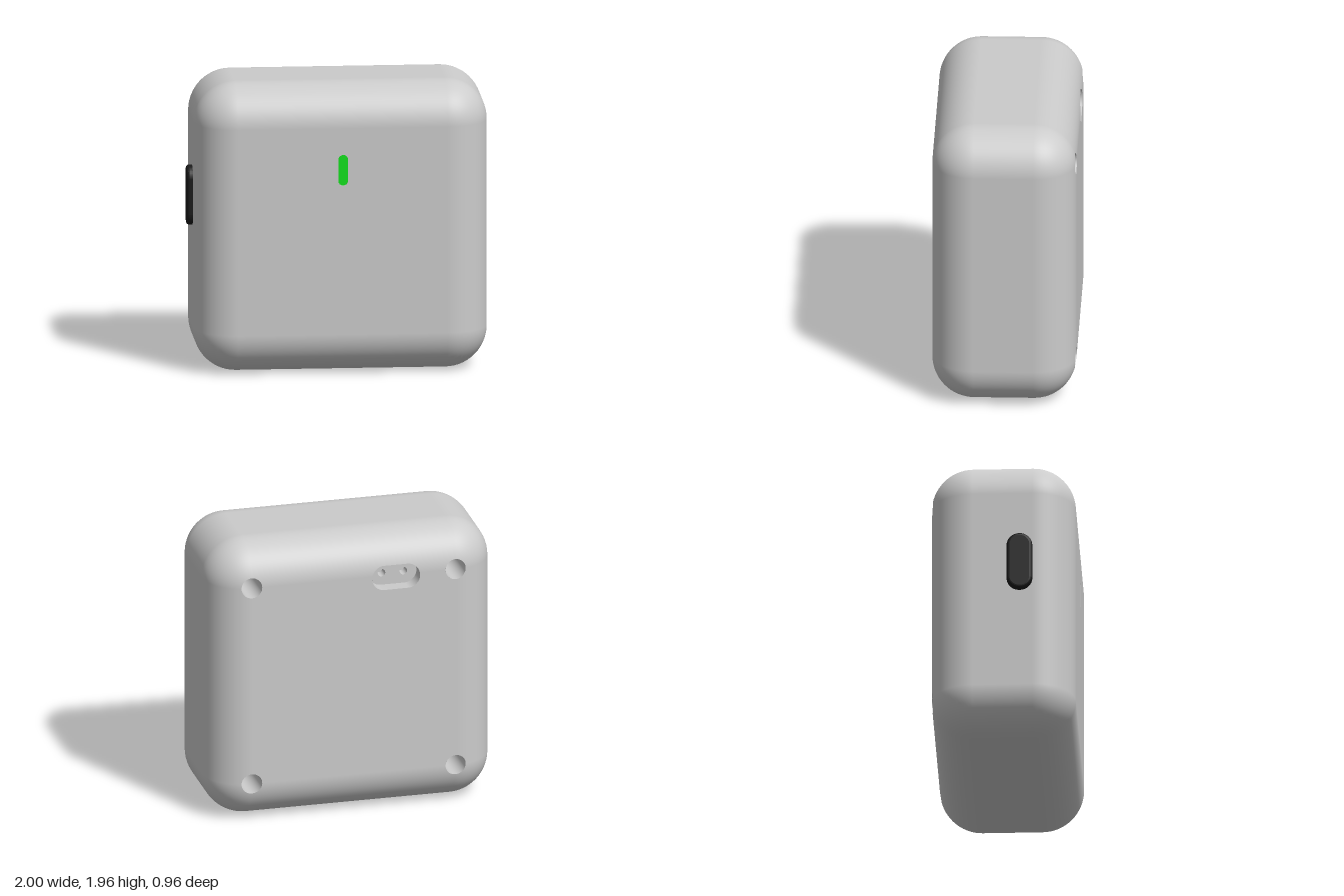
import * as THREE from 'three';

const H = 0.70;        // half size of the flat front and back
const C = 0.20;        // half depth of the straight side walls
const R = 0.28;        // edge fillet radius
const SCREW = 0.07;    // screw hole radius, centred on the corners of the flat back
const SLOT = { x: -0.29, y: 0.685, f: 0.08, r: 0.085 };
const DEG = Math.PI / 180;

const grey = new THREE.MeshStandardMaterial({ color: 0xcccccc, side: THREE.DoubleSide });
const green = new THREE.MeshStandardMaterial({ color: 0x10e01c, side: THREE.DoubleSide });
const black = new THREE.MeshStandardMaterial({ color: 0x1a1a1a });

const surfaceZ = (x, y) => {
  const d = Math.hypot(Math.max(Math.abs(x) - H, 0), Math.max(Math.abs(y) - H, 0));
  return C + Math.sqrt(R * R - d * d);
};
const quarterTurns = (x, y, k) => {
  for (; k > 0; k--) [x, y] = [-y, x];
  return [x, y];
};

// Counter-clockwise pill outline: f is half the straight length, r the end radius
function pill(cx, cy, f, r, upright = false) {
  const pts = [];
  for (let i = 0; i < 48; i++) {
    const a = ((i + 0.5) / 48 - 0.25) * Math.PI * 2;
    const x = (i < 24 ? f : -f) + r * Math.cos(a), y = r * Math.sin(a);
    pts.push(upright ? new THREE.Vector2(cx - y, cy + x) : new THREE.Vector2(cx + x, cy + y));
  }
  return pts;
}

function add(parent, name, geo, mat) {
  const mesh = new THREE.Mesh(geo, mat);
  mesh.name = name;
  parent.add(mesh);
  return mesh;
}

// Joins equal rows of points into a closed band
function bandIndex(rows, n) {
  const idx = [];
  for (let j = 0; j < rows - 1; j++) for (let i = 0; i < n; i++) {
    const k = (i + 1) % n, a = j * n, b = a + n;
    idx.push(a + i, a + k, b + k, a + i, b + k, b + i);
  }
  return idx;
}

// Flat panel facing +z or -z
function panel(points, holes, z, side) {
  const shape = new THREE.Shape(points);
  shape.holes = holes.map(h => new THREE.Path(h));
  const geo = new THREE.ShapeGeometry(shape);
  if (side < 0) geo.index.array.reverse();
  geo.translate(0, 0, z);
  geo.computeVertexNormals();
  return geo;
}

// Recess with walls from the surface down to a floor
function pocket(parent, name, pts, top, bottom, side, mat = grey, holes = []) {
  const pos = [];
  for (const p of pts) pos.push(p.x, p.y, side * top(p.x, p.y));
  for (const p of pts) pos.push(p.x, p.y, side * bottom);
  const wall = new THREE.BufferGeometry();
  wall.setAttribute('position', new THREE.Float32BufferAttribute(pos, 3));
  const idx = bandIndex(2, pts.length);
  wall.setIndex(side < 0 ? idx.reverse() : idx);
  wall.computeVertexNormals();
  add(parent, name + 'Wall', wall, grey);
  add(parent, name + 'Floor', panel(pts, holes, side * bottom, side), mat);
}

// Filleted shell as cross-sections from back to front, its back rim cut by the holes
function shellGeometry() {
  const loop = [];
  for (let k = 0; k < 4; k++) {
    const side = [];
    const end = [];
    for (let i = 0; i <= 10; i++) {
      const a = i * 9 * DEG;
      end.push([H - SCREW * Math.sin(a), SCREW * Math.cos(a)]);
    }
    side.push(...end);
    if (k === 0) {
      const a0 = Math.asin((H - SLOT.y) / SLOT.r);
      const arc = [];
      for (let i = 0; i <= 10; i++) {
        const a = a0 + (Math.PI / 2 - a0) * i / 10;
        arc.push([SLOT.f + SLOT.r * Math.cos(a), SLOT.y + SLOT.r * Math.sin(a) - H]);
      }
      side.push(...arc.map(([x, d]) => [SLOT.x + x, d]));
      side.push(...arc.reverse().map(([x, d]) => [SLOT.x - x, d]));
    }
    side.push(...end.reverse().map(([x, d]) => [-x, d]));
    for (const [x, d] of side)
      loop.push({ b: quarterTurns(x, H, k), n: quarterTurns(0, 1, k), min: Math.max(d, 0) });
    for (let i = 1; i < 14; i++) {
      const a = (90 + i * 90 / 14) * DEG;
      loop.push({ b: quarterTurns(-H, H, k), n: quarterTurns(Math.cos(a), Math.sin(a), k), min: SCREW });
    }
  }
  const pos = [], nor = [], steps = 16;
  for (const side of [-1, 1]) for (let j = 0; j <= steps; j++) {
    const t = (side < 0 ? j : steps - j) / steps * Math.PI / 2;
    for (const { b, n, min } of loop) {
      const d = Math.max(R * Math.sin(t), side < 0 ? min : 0);
      const h = Math.sqrt(Math.max(R * R - d * d, 0));
      pos.push(b[0] + n[0] * d, b[1] + n[1] * d, side * (C + h));
      nor.push(n[0] * d / R, n[1] * d / R, side * h / R);
    }
  }
  const geo = new THREE.BufferGeometry();
  geo.setAttribute('position', new THREE.Float32BufferAttribute(pos, 3));
  geo.setAttribute('normal', new THREE.Float32BufferAttribute(nor, 3));
  geo.setIndex(bandIndex(2 * steps + 2, loop.length));
  return geo;
}

// Outline of the flat back, with bites for the screw holes and the slot
function backOutline() {
  const pts = [];
  const a0 = Math.asin((H - SLOT.y) / SLOT.r);
  for (let i = 0; i <= 24; i++) {
    const a = a0 - (Math.PI + 2 * a0) * i / 24;
    const cx = SLOT.x + (i <= 12 ? SLOT.f : -SLOT.f);
    pts.push(new THREE.Vector2(cx + SLOT.r * Math.cos(a), SLOT.y + SLOT.r * Math.sin(a)));
  }
  for (let k = 0; k < 4; k++) for (let i = 0; i <= 10; i++) {
    const a = -i * 9 * DEG;
    pts.push(new THREE.Vector2(...quarterTurns(-H + SCREW * Math.cos(a), H + SCREW * Math.sin(a), k)));
  }
  return pts;
}

export function createModel() {
  const model = new THREE.Group();
  model.name = 'wallDevice';
  model.position.set(0, 0, 0);
  const body = new THREE.Group();
  body.name = 'body';
  body.position.set(0.02, 0.98, 0);
  model.add(body);

  // Housing
  add(body, 'shell', shellGeometry(), grey);
  add(body, 'backPanel', panel(backOutline(), [], -(C + R), -1), grey);
  const light = pill(0, 0.415, 0.073, 0.032, true);
  const square = [[-H, -H], [H, -H], [H, H], [-H, H]].map(p => new THREE.Vector2(...p));
  add(body, 'frontPanel', panel(square, [light], C + R, 1), grey);

  // Status light in a shallow recess
  pocket(body, 'statusLight', light, surfaceZ, C + R - 0.012, 1, green);

  // Screw holes
  for (const x of [-H, H]) for (const y of [-H, H])
    pocket(body, 'screwHole', pill(x, y, 0, SCREW), surfaceZ, 0.18, -1);

  // Connector slot with two small holes in its floor
  const floor = C + R - 0.1;
  const pins = [-0.075, 0.075].map(dx => pill(SLOT.x + dx, SLOT.y, 0, 0.026));
  pocket(body, 'connectorSlot', pill(SLOT.x, SLOT.y, SLOT.f, SLOT.r), surfaceZ, floor, -1, grey, pins);
  for (const p of pins) pocket(body, 'connectorHole', p, () => floor, floor - 0.08, -1);

  // Side button
  const bevel = 0.02;
  const geo = new THREE.ExtrudeGeometry(new THREE.Shape(pill(0, 0, 0.117, 0.086, true)), {
    depth: 0.05, bevelEnabled: true, bevelSize: bevel, bevelOffset: -bevel, bevelThickness: bevel, bevelSegments: 4,
  });
  const button = add(body, 'sideButton', geo, black);
  button.rotation.y = -Math.PI / 2;
  button.position.set(-0.95, 0.193, 0.115);
  return model;
}
